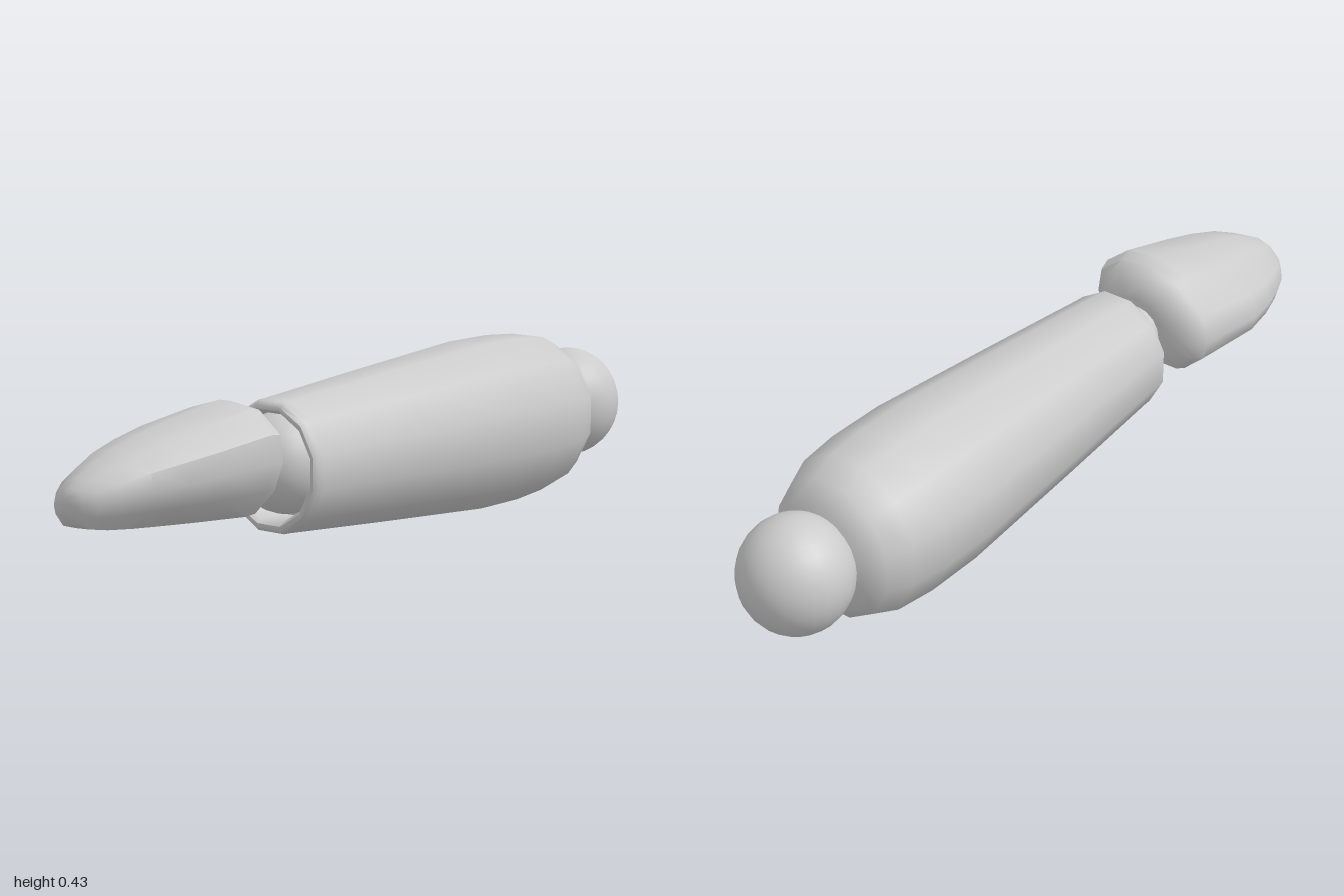
import * as THREE from 'three';
import { toCreasedNormals } from 'three/addons/utils/BufferGeometryUtils.js';

const material = new THREE.MeshStandardMaterial({ color: 0xcccccc });

// Skins a counter-clockwise section (coordinates -1..1) through rings
// given as [z, xMin, xMax, yMin, yMax], and closes both ends.
function loft(section, rings, crease) {
  const n = section.length, pos = [], index = [];
  const place = ([z, x0, x1, y0, y1], u, v) =>
    pos.push((x0 + x1) / 2 + u * (x1 - x0) / 2, (y0 + y1) / 2 + v * (y1 - y0) / 2, z);
  for (const ring of rings) for (const [u, v] of section) place(ring, u, v);
  place(rings[0], 0, 0);
  place(rings[rings.length - 1], 0, 0);
  const last = (rings.length - 1) * n, c0 = rings.length * n;
  for (let j = 0; j < n; j++) {
    const k = (j + 1) % n;
    for (let i = 0; i < last; i += n) {
      index.push(i + j, i + k, i + n + k, i + j, i + n + k, i + n + j);
    }
    index.push(c0, k, j, c0 + 1, last + j, last + k);
  }
  const g = new THREE.BufferGeometry();
  g.setAttribute('position', new THREE.Float32BufferAttribute(pos, 3));
  g.setIndex(index);
  return toCreasedNormals(g, crease);
}

export function createModel() {
  const model = new THREE.Group();
  const add = (name, geometry, x = 0, y = 0, z = 0) => {
    const mesh = new THREE.Mesh(geometry, material);
    mesh.name = name;
    mesh.position.set(x, y, z);
    model.add(mesh);
    return mesh;
  };

  // Forearm: twelve-sided sleeve with a rounded rim and a hollow wrist end
  const round = [];
  for (let i = 0; i < 12; i++) {
    const a = (i + 0.5) * Math.PI / 6, r = 1 / Math.cos(Math.PI / 12);
    round.push([Math.cos(a) * r, Math.sin(a) * r]);
  }
  const sleeve = [ // z, half width, half height
    [-0.775, 0.13, 0.137], [-0.735, 0.162, 0.178], [-0.67, 0.187, 0.205],
    [-0.56, 0.2, 0.213], [-0.4, 0.2, 0.213], [0, 0.173, 0.184],
    [0.335, 0.149, 0.158], [0.357, 0.148, 0.157], [0.368, 0.14, 0.148],
    [0.368, 0.131, 0.138], [0.357, 0.123, 0.13], [0.28, 0.121, 0.128],
  ].map(([z, w, h]) => [z, 0.003 - w, 0.003 + w, 0.215 - h, 0.215 + h]);
  add('forearm', loft(round, sleeve, 0.9));

  // Elbow ball
  add('elbowBall', new THREE.SphereGeometry(0.138, 24, 16), 0, 0.22, -0.862).scale.y = 1.05;

  // Wrist: ball in the sleeve and a short neck into the hand
  add('wristBall', new THREE.SphereGeometry(0.125, 20, 14), 0, 0.22, 0.3);
  const neck = new THREE.CylinderGeometry(0.067, 0.067, 0.1, 16).rotateX(Math.PI / 2);
  add('wristNeck', neck, 0, 0.227, 0.44).scale.y = 1.08;

  // Hand: leaning mitten with a flat palm, tapering to a rounded tip
  const mitten = [
    [0.08, 1], [-0.42, 0.8], [-0.89, 0.26], [-1, -0.24], [-0.93, -0.6], [-0.6, -1],
    [-0.05, -1], [0.5, -0.96], [0.85, -0.48], [1, 0.04], [0.95, 0.52], [0.59, 0.91],
  ];
  add('hand', loft(mitten, [
    [0.445, -0.08, 0.085, 0.19, 0.32],
    [0.455, -0.13, 0.115, 0.158, 0.35],
    [0.475, -0.165, 0.145, 0.138, 0.375],
    [0.5, -0.182, 0.167, 0.13, 0.392],
    [0.54, -0.188, 0.178, 0.13, 0.4],
    [0.69, -0.203, 0.158, 0.139, 0.37],
    [0.78, -0.187, 0.136, 0.145, 0.35],
    [0.86, -0.16, 0.105, 0.15, 0.328],
    [0.92, -0.132, 0.073, 0.155, 0.302],
    [0.965, -0.1, 0.043, 0.163, 0.278],
    [0.988, -0.073, 0.018, 0.183, 0.258],
    [1, -0.045, -0.01, 0.207, 0.24],
  ], 0.7));

  return model;
}
